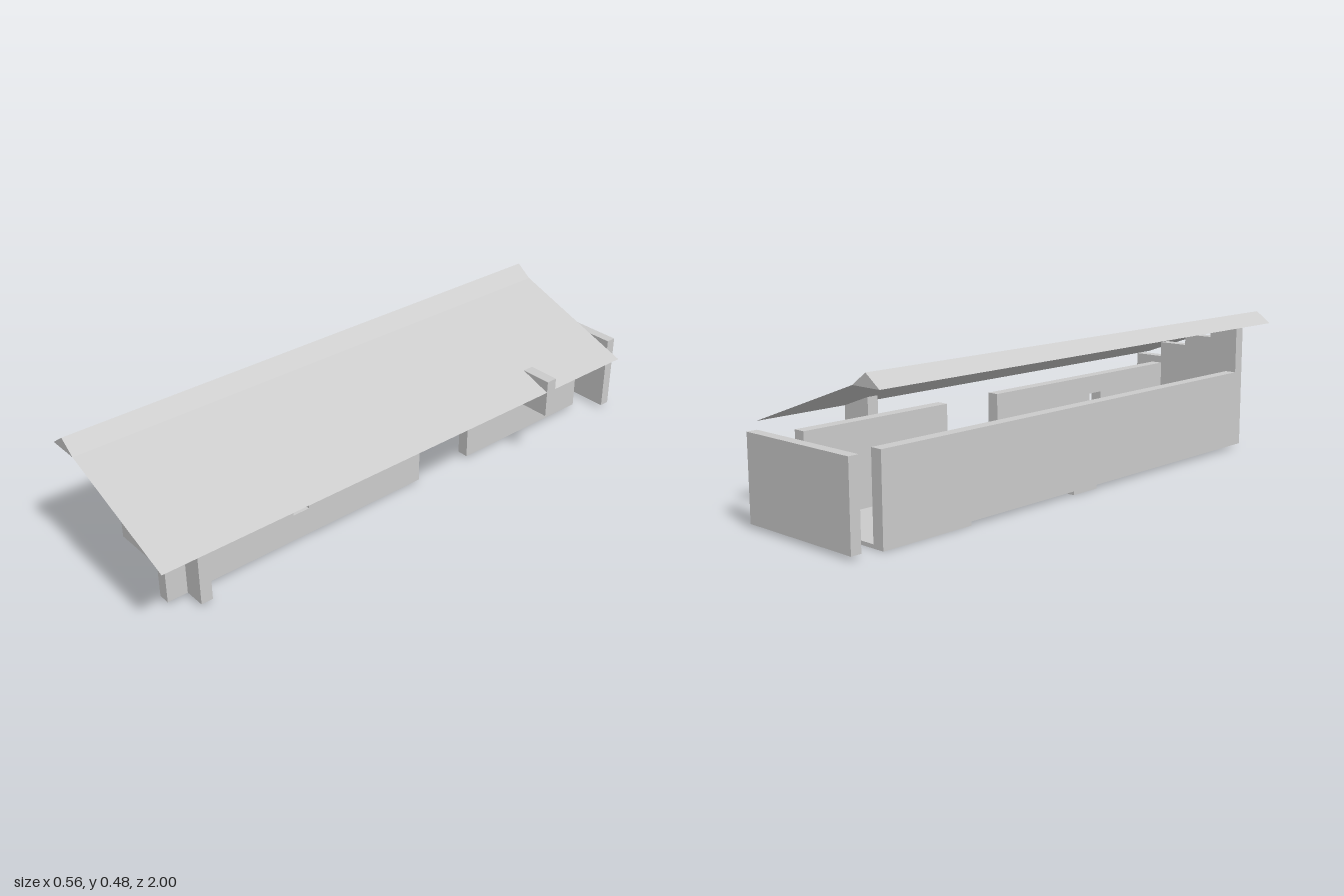
import * as THREE from 'three';

const material = new THREE.MeshStandardMaterial({ color: 0xcccccc, flatShading: true });
const thinMaterial = new THREE.MeshStandardMaterial({ color: 0xcccccc, flatShading: true, side: THREE.DoubleSide });

const LEFT = -0.278;   // outer face of the long solid wall
const STEP = 0.111;    // module width shared by steps, slabs and ridge
const BASE = 0.012;    // underside of the walls
const WALL_TOP = 0.28;
const ROOF_FRONT = 1, ROOF_BACK = -0.89;

export function createModel() {
  const group = new THREE.Group();

  const add = (name, geometry, mat = material) => {
    const mesh = new THREE.Mesh(geometry, mat);
    mesh.name = name;
    group.add(mesh);
    return mesh;
  };

  // Box given by its extents on each axis
  const box = (name, [x0, x1], [y0, y1], [z0, z1]) =>
    add(name, new THREE.BoxGeometry(x1 - x0, y1 - y0, z1 - z0))
      .position.set((x0 + x1) / 2, (y0 + y1) / 2, (z0 + z1) / 2);

  const polygon = (points) => new THREE.Shape(points.map(([x, y]) => new THREE.Vector2(x, y)));
  const rect = (x0, x1, y0, y1) => polygon([[x0, y0], [x1, y0], [x1, y1], [x0, y1]]);
  const extrude = (shape, depth) => new THREE.ExtrudeGeometry(shape, { depth, bevelEnabled: false });

  // Floor slabs
  box('backFloorSlab', [LEFT, LEFT + 3 * STEP], [0, BASE], [-0.89, -0.56]);
  box('middleFloorSlab', [LEFT, LEFT + STEP], [0, BASE], [-0.11, 0]);
  box('frontFloorSlab', [LEFT + STEP, LEFT + 2 * STEP], [0, BASE], [0.335, 0.78]);

  // Long solid wall and the detached back wall
  box('longWall', [LEFT, LEFT + 0.04], [BASE, WALL_TOP], [-0.89, 0.78]);
  box('detachedBackWall', [LEFT, 0.167], [BASE, WALL_TOP], [-1, -0.965]);

  // Front wall with a top that steps down under the roof
  const outline = [[LEFT, BASE], [LEFT + 4 * STEP, BASE]];
  [0.305, 0.358, 0.398, 0.438].forEach((y, i) => {
    outline.push([LEFT + (4 - i) * STEP, y], [LEFT + (3 - i) * STEP, y]);
  });
  add('steppedFrontWall', extrude(polygon(outline), 0.04)).position.z = 0.78;

  // Wall with a window, then a doorway gap and the rear wall
  const windowWall = rect(-0.11, 0.89, BASE, WALL_TOP);
  windowWall.holes.push(rect(0.36, 0.42, 0.107, 0.218));
  add('windowWall', extrude(windowWall, 0.04).rotateY(-Math.PI / 2)).position.x = 0.093;
  box('rearSideWall', [0.053, 0.093], [BASE, WALL_TOP], [-0.89, -0.335]);

  // Block poking through the roof slope
  box('roofBlock', [0.167, 0.278], [0.187, 0.318], [-0.56, -0.52]);

  // Triangular ridge and the thin roof slope leaning against it
  const ridge = polygon([[LEFT, 0.438], [LEFT + STEP, 0.438], [LEFT + STEP / 2, 0.478]]);
  add('ridge', extrude(ridge, ROOF_FRONT - ROOF_BACK)).position.z = ROOF_BACK;

  const run = 0.278 - (LEFT + STEP), drop = 0.438 - 0.278;
  const slope = new THREE.PlaneGeometry(Math.hypot(run, drop), ROOF_FRONT - ROOF_BACK);
  slope.rotateX(-Math.PI / 2).rotateZ(-Math.atan2(drop, run));
  add('roofSlope', slope, thinMaterial)
    .position.set(0.278 - run / 2, 0.278 + drop / 2, (ROOF_FRONT + ROOF_BACK) / 2);

  return group;
}
